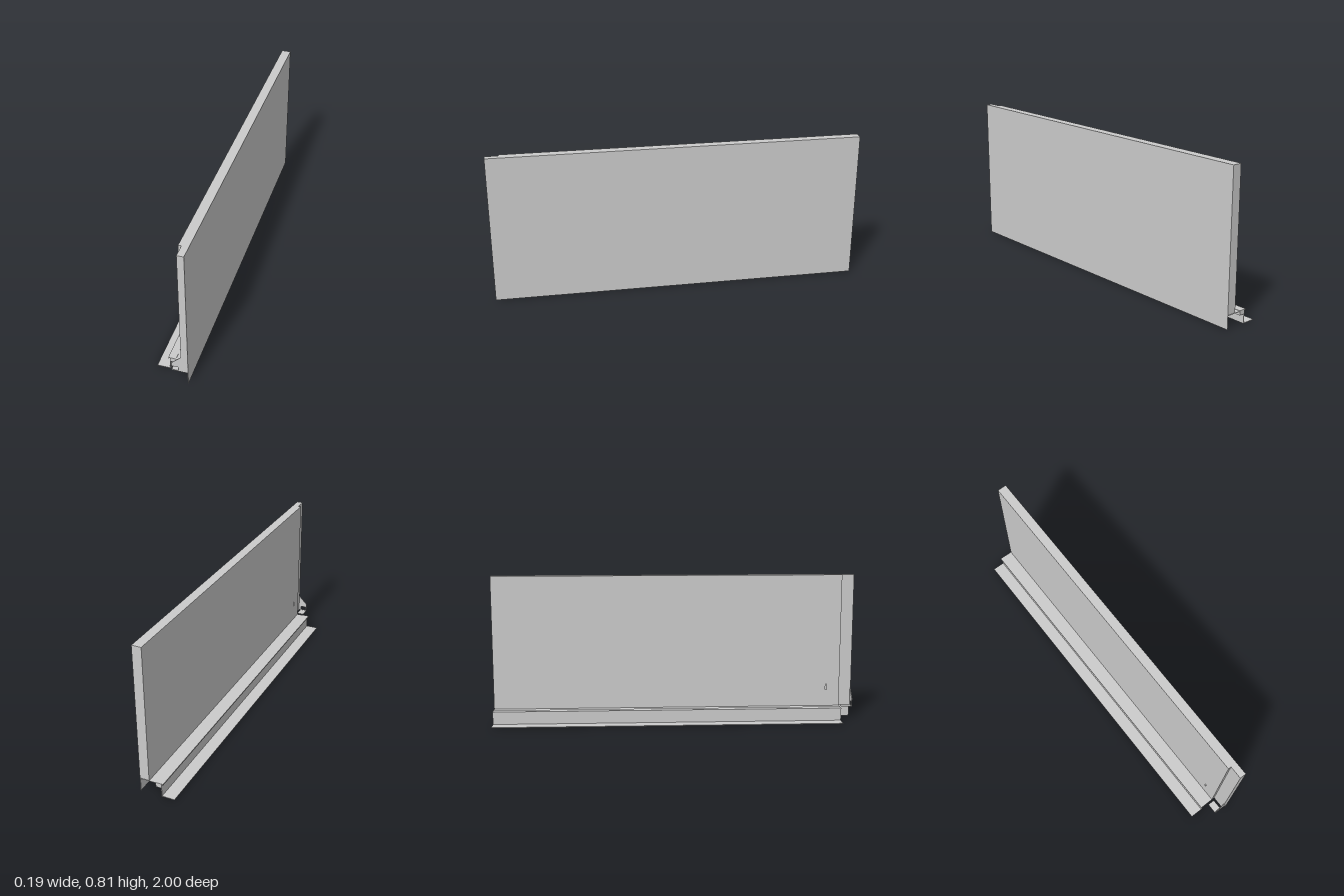
import * as THREE from 'three';

const material = new THREE.MeshStandardMaterial({ color: 0xcccccc, flatShading: true });

// Box given by its limits on each axis
function box(name, [x0, x1], [y0, y1], [z0, z1]) {
  const geometry = new THREE.BoxGeometry(x1 - x0, y1 - y0, z1 - z0);
  geometry.translate((x0 + x1) / 2, (y0 + y1) / 2, (z0 + z1) / 2);
  const mesh = new THREE.Mesh(geometry, material);
  mesh.name = name;
  return mesh;
}

const outline = points => points.map(p => new THREE.Vector2(...p));

// Outline in x, y pushed from z0 to z1, with optional holes
function extrude(name, points, z0, z1, holes = []) {
  const shape = new THREE.Shape(outline(points));
  holes.forEach(h => shape.holes.push(new THREE.Path(outline(h))));
  const geometry = new THREE.ExtrudeGeometry(shape, { depth: z1 - z0, bevelEnabled: false });
  geometry.translate(0, 0, z0);
  const mesh = new THREE.Mesh(geometry, material);
  mesh.name = name;
  return mesh;
}

export function createModel() {
  const model = new THREE.Group();
  model.name = 'drawerSide';
  const t = 0.003, top = 0.812, right = 0.092, inner = 0.041, step = 0.057;
  const back = -1, stop = 0.93, front = 1, floor = 0.072;

  // Hollow sheet-metal wall; the outer sheet reaches the ground
  model.add(
    box('outerPanel', [right - t, right], [0, top], [back, front]),
    box('topCap', [inner, right - t], [top - t, top], [back, stop]),
    box('backCap', [inner, right - t], [floor + t, top - t], [back, back + t]),
    box('stepFace', [inner + t, step], [floor + t, top - t], [stop - t, stop]),
    box('frontTopCap', [step, right - t], [top - t, top], [stop, front]),
    box('frontSidePanel', [step, step + t], [floor + t, top - t], [stop, front - t]),
    box('frontFloor', [step, right - t], [floor, floor + t], [stop, front - t]),
  );

  // Inner panel with a small slot near the front; drawn in z, y and turned
  const panel = extrude('innerPanel',
    [[-stop, floor], [-back, floor], [-back, top - t], [-stop, top - t]], inner, inner + t,
    [[[-0.86, 0.165], [-0.86, 0.195], [-0.852, 0.195], [-0.852, 0.165]]]);
  panel.rotation.y = Math.PI / 2;
  model.add(panel);

  // Front plate with its sloped foot and square hole
  model.add(extrude('frontPlate', [
    [right - t, floor], [right - t, top - t], [step, top - t], [step, 0.17],
    [0.007, 0.12], [0.007, floor],
  ], front - 0.004, front, [[[0.011, 0.077], [0.011, 0.099], [0.044, 0.099], [0.044, 0.077]]]));
  model.add(box('frontTab', [0.007, 0.046], [floor, floor + t], [0.94, front - 0.004]));

  // Floor sheet under the wall
  model.add(box('floorSheet', [0.005, right - t], [floor - 0.001, floor + 0.001], [back, stop]));

  // Bent rail: lip, ledge, web and ground flange
  model.add(extrude('rail', [
    [-0.095, 0], [-0.024, 0], [-0.024, floor], [0.005, floor], [0.005, 0.075],
    [-0.035, 0.075], [-0.035, 0.068], [-0.033, 0.068], [-0.033, floor],
    [-0.027, floor], [-0.027, 0.003], [-0.095, 0.003],
  ], back, stop));

  // Runner under the ledge
  model.add(box('runner', [-0.024, 0.005], [0.05, floor], [back, stop]));

  return model;
}
